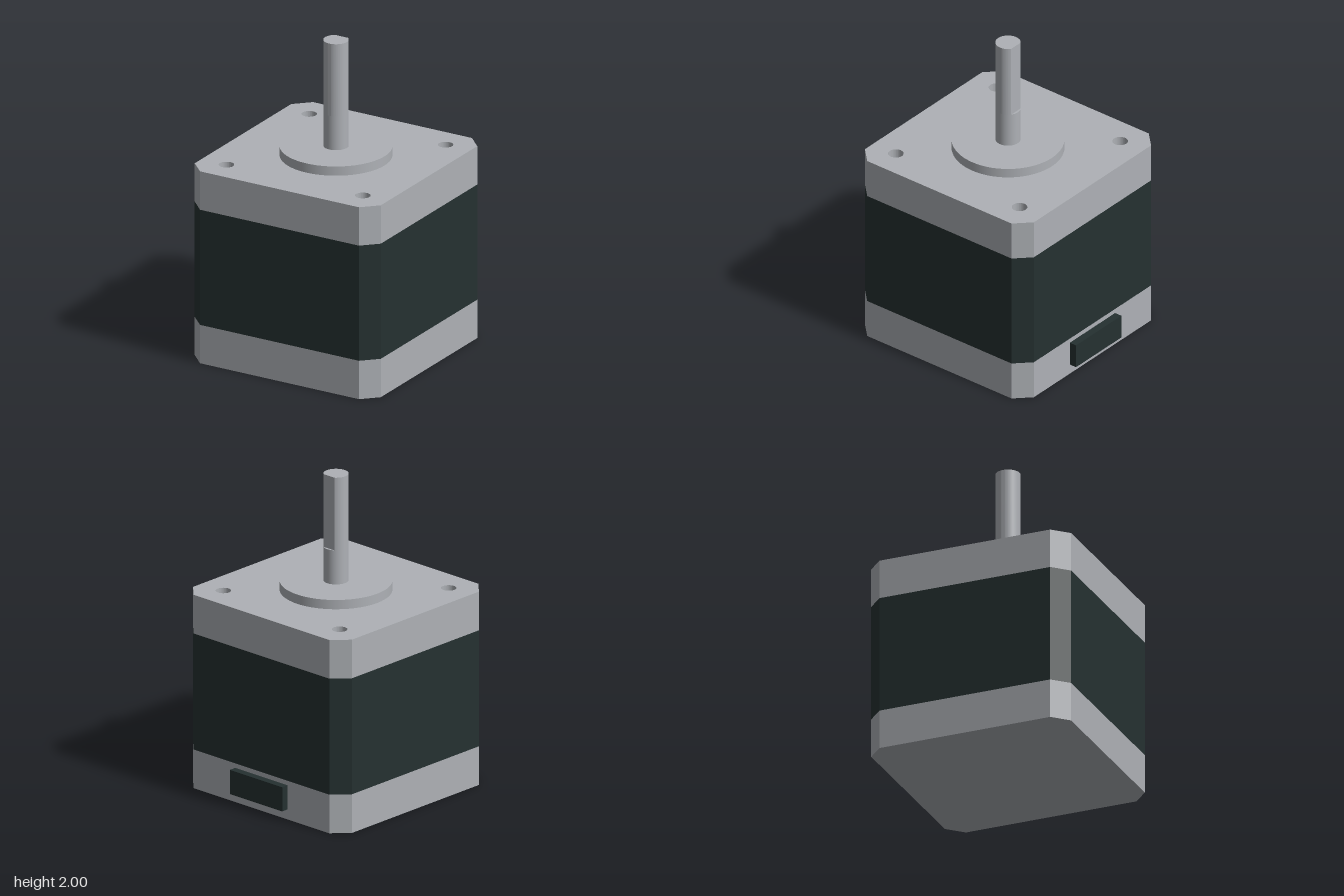
import * as THREE from 'three';
import { toCreasedNormals } from 'three/addons/utils/BufferGeometryUtils.js';

const HALF = 0.658, CUT = 0.096;        // body half width, corner chamfer
const HOLE_AT = 0.482, HOLE_R = 0.047;  // screw hole spacing and radius
const SHAFT_R = 0.077, FLAT = 0.062;    // shaft radius, distance of its flat
const CORNERS = [[1, 1], [-1, 1], [-1, -1], [1, -1]];

// Square outline with chamfered corners
function bodyShape() {
  const a = HALF, b = HALF - CUT;
  return new THREE.Shape([
    [a, -b], [a, b], [b, a], [-b, a], [-a, b], [-a, -b], [-b, -a], [b, -a],
  ].map(([x, y]) => new THREE.Vector2(x, y)));
}

// Upright prism of a plan shape between two heights
function prism(shape, y0, y1) {
  const g = new THREE.ExtrudeGeometry(shape, { depth: y1 - y0, bevelEnabled: false, curveSegments: 40 });
  g.rotateX(-Math.PI / 2).translate(0, y0, 0);
  return toCreasedNormals(g, Math.PI / 6);
}

export function createModel() {
  const metal = new THREE.MeshStandardMaterial({ color: 0xaeb1b6 });
  metal.name = 'metal';
  const dark = new THREE.MeshStandardMaterial({ color: 0x253131 });
  dark.name = 'darkSteel';

  const model = new THREE.Group();
  model.name = 'stepperMotor';
  model.rotation.y = -THREE.MathUtils.degToRad(12);
  const root = new THREE.Group();
  root.add(model);

  const add = (name, geometry, material) => {
    const mesh = new THREE.Mesh(geometry, material);
    mesh.name = name;
    model.add(mesh);
    return mesh;
  };

  // Body: bottom cap, dark core, top cap with screw holes
  add('bottomCap', prism(bodyShape(), 0, 0.25), metal);
  add('core', prism(bodyShape(), 0.25, 1), dark);
  const top = bodyShape();
  for (const [sx, sy] of CORNERS) {
    top.holes.push(new THREE.Path().absarc(sx * HOLE_AT, sy * HOLE_AT, HOLE_R, 0, Math.PI * 2, true));
  }
  add('topCap', prism(top, 1, 1.25), metal);

  // Floors of the blind screw holes
  for (const [sx, sz] of CORNERS) {
    const floor = new THREE.CircleGeometry(HOLE_R, 32).rotateX(-Math.PI / 2);
    add('holeFloor', floor, metal).position.set(sx * HOLE_AT, 1.11, sz * HOLE_AT);
  }

  // Raised pilot ring
  add('pilotBoss', new THREE.CylinderGeometry(0.342, 0.342, 0.06, 64), metal).position.y = 1.28;

  // Shaft: round below, D-shaped above with the flat at the back
  add('shaftBase', new THREE.CylinderGeometry(SHAFT_R, SHAFT_R, 0.22, 48), metal).position.y = 1.42;
  const a = Math.asin(FLAT / SHAFT_R);
  const dShape = new THREE.Shape().absarc(0, 0, SHAFT_R, Math.PI - a, Math.PI * 2 + a, false);
  add('shaftFlatEnd', prism(dShape, 1.53, 2), metal);

  // Cable connector on the back
  add('connector', new THREE.BoxGeometry(0.434, 0.156, 0.06), dark).position.set(0, 0.143, -0.676);

  return root;
}
